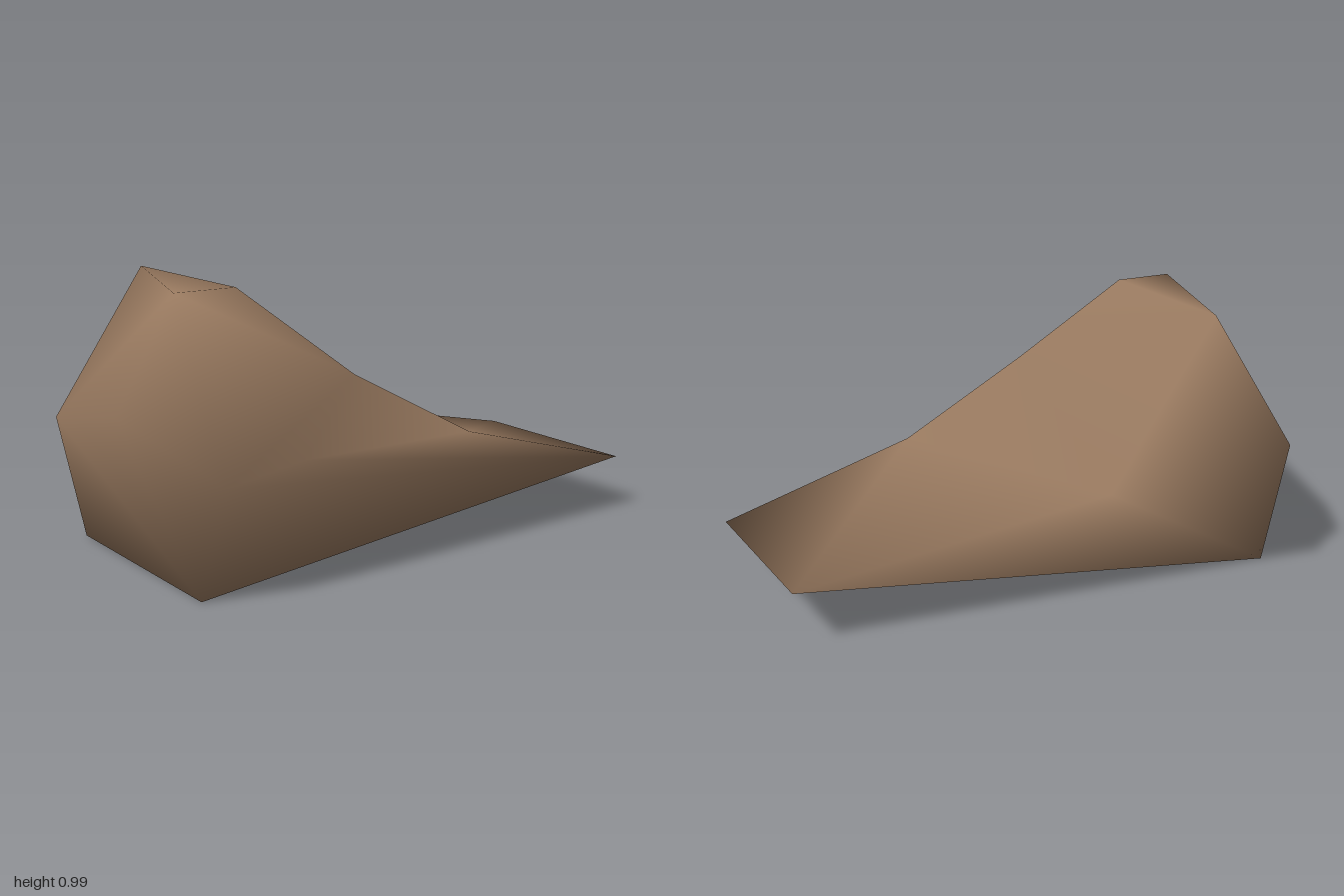
import * as THREE from 'three';

// Corner points of the boulder, named by where they sit
const corners = {
  topLeft: [-0.35, 0.99, 0.61], topBack: [0.29, 0.99, 0.61], topFront: [0.28, 0.99, 0.835],
  nose: [0.175, 0.585, 1], cheek: [-0.43, 0.46, 0.93], hip: [-0.565, 0.56, 0.63],
  waist: [-0.435, 0.42, 0.12], sideFront: [0.555, 0.41, 0.82], sideBack: [0.562, 0.457, 0.53],
  shoulder: [0.45, 0.685, 0.25], ridge: [0.47, 0.415, -0.25],
  baseA: [-0.408, 0, 0.84], baseB: [0.42, 0, 0.84],
  tailA: [-0.21, 0.205, -1], tailB: [0.493, 0.205, -1],
};

// Facets, grouped by side; each row of corners is a fan of triangles
const facets = [
  // top and sloping back
  'topLeft topBack topFront', 'topLeft topBack shoulder', 'topLeft shoulder waist',
  'ridge shoulder waist tailA tailB',
  // underside
  'baseA baseB tailB tailA',
  // front
  'cheek hip topLeft topFront nose', 'baseB sideFront nose cheek baseA',
  // one flank
  'topFront topBack shoulder', 'sideFront baseB tailB sideBack shoulder topFront nose',
  'sideBack shoulder ridge tailB',
  // other flank
  'baseA cheek hip waist tailA', 'topLeft hip waist',
];

function rockGeometry() {
  const names = Object.keys(corners);
  const points = names.map((n) => new THREE.Vector3(...corners[n]));
  const inside = new THREE.Vector3(0, 0.4, 0.45);
  const index = [];
  for (const row of facets) {
    const fan = row.split(' ').map((n) => names.indexOf(n));
    for (let i = 1; i < fan.length - 1; i++) {
      const [a, b, c] = [fan[0], fan[i], fan[i + 1]];
      const tri = new THREE.Triangle(points[a], points[b], points[c]);
      // turn every facet outwards
      const out = tri.getNormal(new THREE.Vector3()).dot(points[a].clone().sub(inside)) > 0;
      index.push(a, ...(out ? [b, c] : [c, b]));
    }
  }
  const geometry = new THREE.BufferGeometry().setFromPoints(points);
  geometry.setIndex(index);
  geometry.computeVertexNormals(); // shared corners give the soft shading
  return geometry;
}

export function createModel() {
  const group = new THREE.Group();
  group.name = 'rock';
  const stone = new THREE.MeshStandardMaterial({ color: 0x98795f });
  stone.name = 'brown stone';
  const boulder = new THREE.Mesh(rockGeometry(), stone);
  boulder.name = 'boulder';
  group.add(boulder);
  return group;
}
